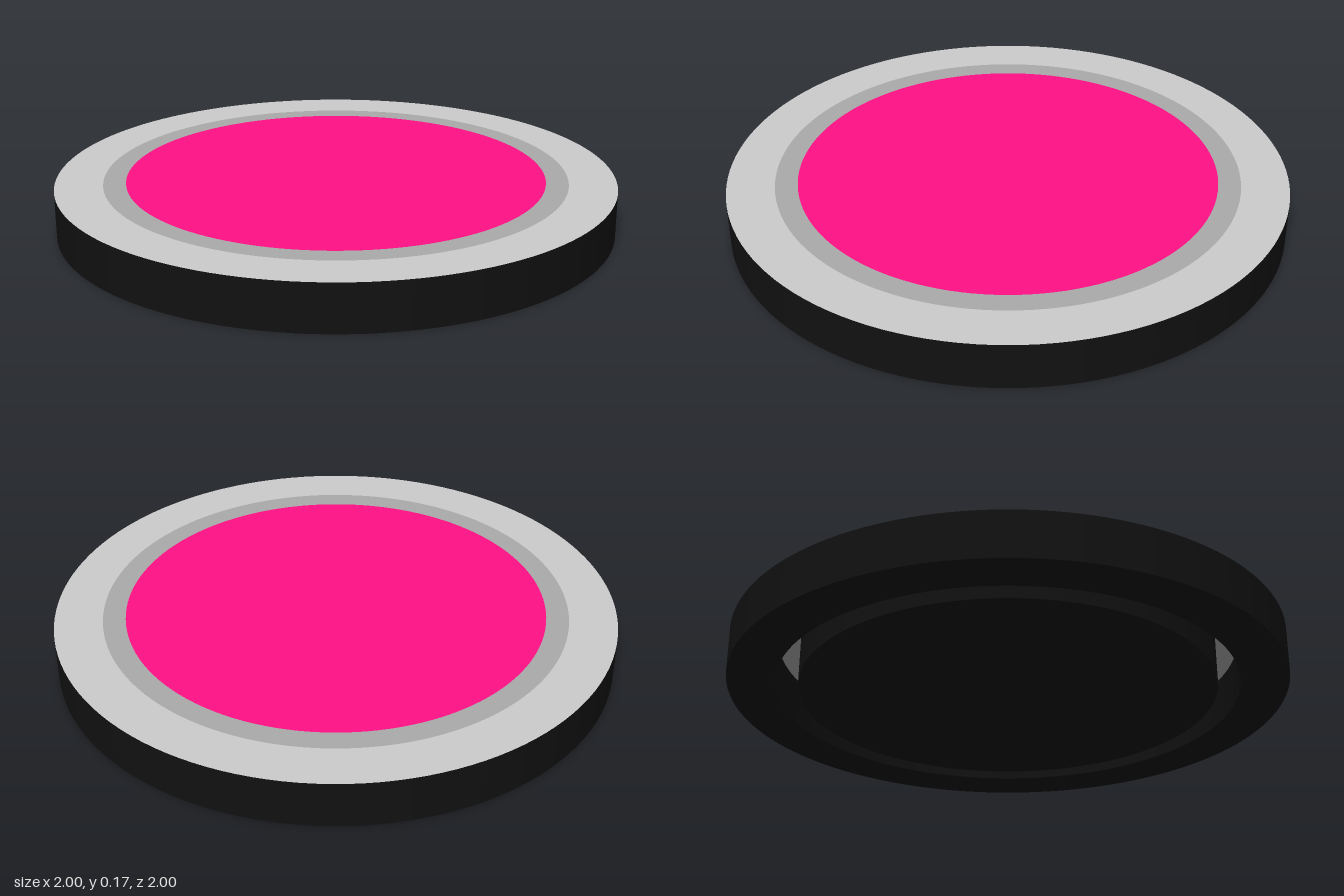
import * as THREE from 'three';

const HEIGHT = 0.167;
const OUTER = 1;
const GROOVE_OUTER = 0.83;
const GROOVE_INNER = 0.75;
const SEGMENTS = 128;

export function createModel() {
  const model = new THREE.Group();
  model.name = 'puck';

  const material = (color, side = THREE.FrontSide) => new THREE.MeshStandardMaterial({ color, side });
  const black = material(0x111111);
  const blackInside = material(0x111111, THREE.BackSide);
  const lightGrey = material(0xcccccc);
  const midGrey = material(0xaaaaaa, THREE.DoubleSide);
  const pink = material(0xff1085);

  const add = (parent, name, geometry, mat) => {
    const mesh = new THREE.Mesh(geometry, mat);
    mesh.name = name;
    parent.add(mesh);
  };
  // Upright open tube standing on the ground
  const wall = (radius) =>
    new THREE.CylinderGeometry(radius, radius, HEIGHT, SEGMENTS, 1, true).translate(0, HEIGHT / 2, 0);
  // Flat ring or disc, facing up on top and down on the ground
  const flat = (inner, outer, top) => {
    const g = inner > 0
      ? new THREE.RingGeometry(inner, outer, SEGMENTS)
      : new THREE.CircleGeometry(outer, SEGMENTS);
    return g.rotateX(top ? -Math.PI / 2 : Math.PI / 2).translate(0, top ? HEIGHT : 0, 0);
  };

  // Outer rim: black body with a light grey top
  const rim = new THREE.Group();
  rim.name = 'outerRim';
  add(rim, 'rimOuterWall', wall(OUTER), black);
  add(rim, 'rimInnerWall', wall(GROOVE_OUTER), blackInside);
  add(rim, 'rimBottom', flat(GROOVE_OUTER, OUTER, false), black);
  add(rim, 'rimTop', flat(GROOVE_OUTER, OUTER, true), lightGrey);

  // Thin ring closing the top of the groove, which stays open below
  add(model, 'grooveCover', flat(GROOVE_INNER, GROOVE_OUTER, true), midGrey);

  // Central core: black body with a pink top
  const core = new THREE.Group();
  core.name = 'core';
  add(core, 'coreWall', wall(GROOVE_INNER), black);
  add(core, 'coreBottom', flat(0, GROOVE_INNER, false), black);
  add(core, 'coreTop', flat(0, GROOVE_INNER, true), pink);

  model.add(rim, core);
  return model;
}
